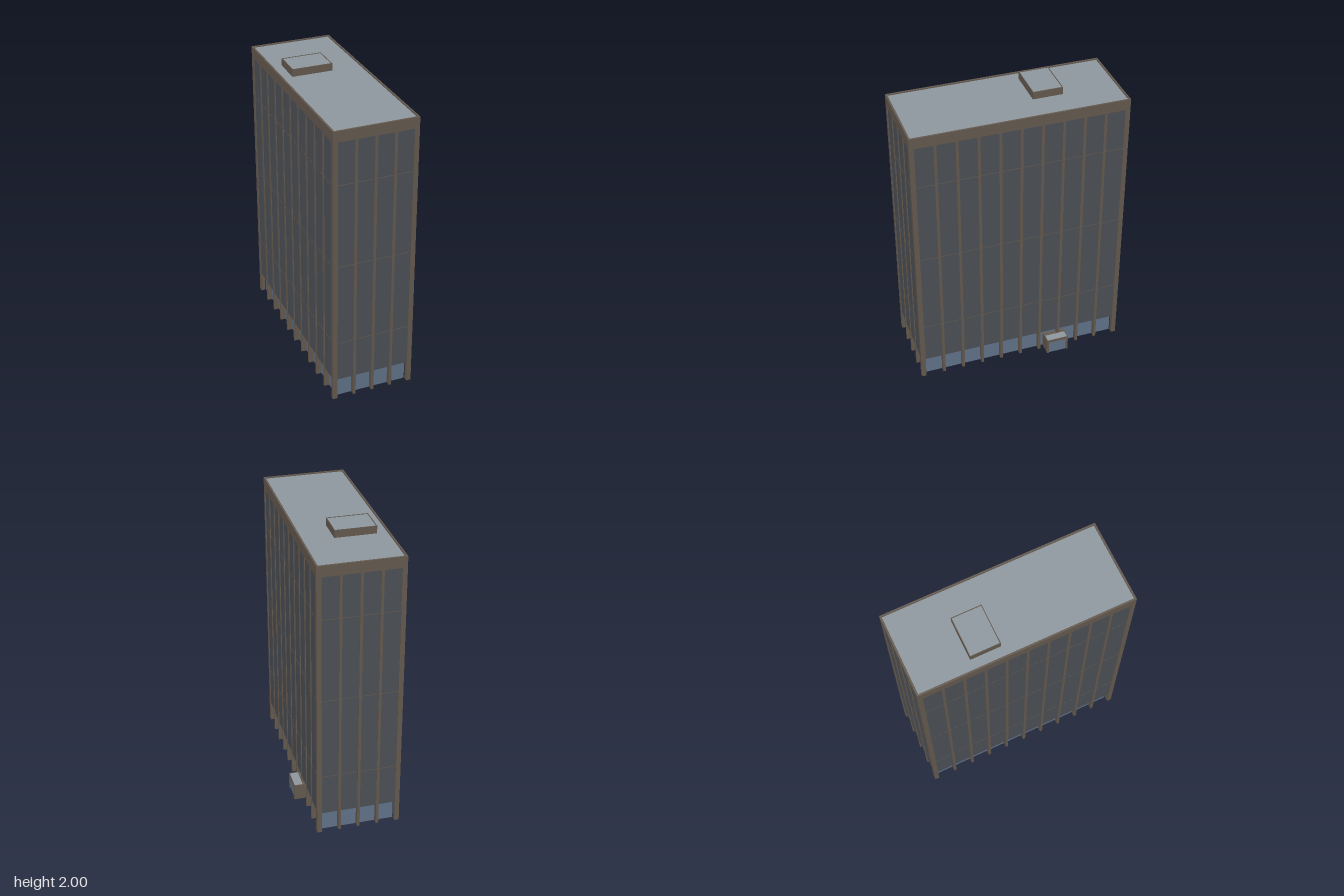
import * as THREE from 'three';

const stone = new THREE.MeshStandardMaterial({ color: 0x665b50 });
stone.name = 'brown stone';
const darkGlass = new THREE.MeshStandardMaterial({ color: 0x4d5157 });
darkGlass.name = 'dark glass';
const lobbyGlass = new THREE.MeshStandardMaterial({ color: 0x62748a, side: THREE.DoubleSide });
lobbyGlass.name = 'blue lobby glass';
const roofGrey = new THREE.MeshStandardMaterial({ color: 0x909aa1 });
roofGrey.name = 'roof grey';

// Tower footprint and main heights
const X0 = -0.314, X1 = 0.252, Z0 = -0.727, Z1 = 0.727;
const LOBBY = 0.15, HEAD = 1.883, TOP = 1.957;
const CORNER = 0.032, PIER = 0.018, DEPTH = 0.035, REVEAL = 0.005;

// Box given by its lower and upper bounds
function box(parent, name, mat, x0, x1, y0, y1, z0, z1) {
  const mesh = new THREE.Mesh(new THREE.BoxGeometry(x1 - x0, y1 - y0, z1 - z0), mat);
  mesh.position.set((x0 + x1) / 2, (y0 + y1) / 2, (z0 + z1) / 2);
  mesh.name = name;
  parent.add(mesh);
  return mesh;
}

// Upright pane facing along the given yaw
function pane(parent, name, width, height, x, z, yaw) {
  const mesh = new THREE.Mesh(new THREE.PlaneGeometry(width, height), lobbyGlass);
  mesh.position.set(x, height / 2, z);
  mesh.rotation.y = yaw;
  mesh.name = name;
  parent.add(mesh);
}

// Grey flat roof inside a thin stone rim
function rimmedRoof(parent, name, x0, x1, z0, z1, top, rim, drop) {
  const g = new THREE.Group();
  g.name = name;
  const low = top - drop - 0.006;
  box(g, 'roofDeck', roofGrey, x0 + rim, x1 - rim, low, top - drop, z0 + rim, z1 - rim);
  box(g, 'rimLeft', stone, x1 - rim, x1, low, top, z0, z1);
  box(g, 'rimRight', stone, x0, x0 + rim, low, top, z0, z1);
  box(g, 'rimFront', stone, x0 + rim, x1 - rim, low, top, z1 - rim, z1);
  box(g, 'rimBack', stone, x0 + rim, x1 - rim, low, top, z0, z0 + rim);
  parent.add(g);
}

// Piers dividing one pair of opposite walls into equal bays
function piers(parent, count, alongX) {
  const a = (alongX ? X0 : Z0) + CORNER, b = (alongX ? X1 : Z1) - CORNER;
  const pitch = (b - a + PIER) / count;
  for (let i = 1; i < count; i++) {
    const p = a + i * pitch - PIER;
    if (alongX) {
      box(parent, 'frontPier', stone, p, p + PIER, 0, HEAD, Z1 - DEPTH, Z1);
      box(parent, 'backPier', stone, p, p + PIER, 0, HEAD, Z0, Z0 + DEPTH);
    } else {
      box(parent, 'leftPier', stone, X1 - DEPTH, X1, 0, HEAD, p, p + PIER);
      box(parent, 'rightPier', stone, X0, X0 + DEPTH, 0, HEAD, p, p + PIER);
    }
  }
}

export function createModel() {
  const model = new THREE.Group();
  model.name = 'officeTower';

  // Curtain wall with a stone soffit over the open lobby
  box(model, 'curtainWall', [darkGlass, darkGlass, stone, stone, darkGlass, darkGlass],
    X0 + REVEAL, X1 - REVEAL, LOBBY, HEAD, Z0 + REVEAL, Z1 - REVEAL);

  // Thin floor lines across the glass
  const e = REVEAL - 0.001;
  for (const y of [0.44, 1.016, 1.592]) {
    box(model, 'floorLine', stone, X0 + e, X1 - e, y - 0.002, y + 0.002, Z0 + e, Z1 - e);
  }

  // Corner posts and piers running down to the ground
  const frame = new THREE.Group();
  frame.name = 'piers';
  model.add(frame);
  for (const x of [X0, X1 - CORNER]) {
    for (const z of [Z0, Z1 - CORNER]) {
      box(frame, 'cornerPost', stone, x, x + CORNER, 0, HEAD, z, z + CORNER);
    }
  }
  piers(frame, 4, true);
  piers(frame, 10, false);

  // Top band and roof
  box(model, 'topBand', stone, X0, X1, HEAD, TOP - 0.014, Z0, Z1);
  rimmedRoof(model, 'mainRoof', X0, X1, Z0, Z1, TOP, 0.012, 0.008);

  // Rooftop plant room
  box(model, 'plantRoom', stone, -0.235, 0.04, TOP - 0.02, 1.991, -0.348, -0.145);
  rimmedRoof(model, 'plantRoomRoof', -0.235, 0.04, -0.348, -0.145, 2, 0.005, 0.003);

  // Recessed lobby glazing, open underneath
  const lobby = new THREE.Group();
  lobby.name = 'lobbyGlazing';
  model.add(lobby);
  const w = X1 - X0 - 2 * DEPTH, d = Z1 - Z0 - 2 * DEPTH, cx = (X0 + X1) / 2;
  pane(lobby, 'frontGlass', w, LOBBY, cx, Z1 - DEPTH, 0);
  pane(lobby, 'backGlass', w, LOBBY, cx, Z0 + DEPTH, Math.PI);
  pane(lobby, 'leftGlass', d, LOBBY, X1 - DEPTH, 0, Math.PI / 2);
  pane(lobby, 'rightGlass', d, LOBBY, X0 + DEPTH, 0, -Math.PI / 2);

  // Entrance porch on the left side
  const porch = new THREE.Group();
  porch.name = 'entrancePorch';
  model.add(porch);
  const px = 0.314, pz0 = -0.333, pz1 = -0.178, wall = 0.013, inner = X1 - DEPTH;
  box(porch, 'porchBackWall', stone, inner, px, 0, 0.095, pz0, pz0 + wall);
  box(porch, 'porchFrontWall', stone, inner, px, 0, 0.095, pz1 - wall, pz1);
  box(porch, 'porchLintel', stone, inner, px, 0.095, 0.108, pz0, pz1);
  rimmedRoof(porch, 'porchRoof', X1 - 0.005, px, pz0, pz1, 0.115, 0.005, 0.002);
  pane(porch, 'porchDoor', pz1 - pz0 - 2 * wall, 0.095, px - 0.006, (pz0 + pz1) / 2, Math.PI / 2);

  return model;
}
